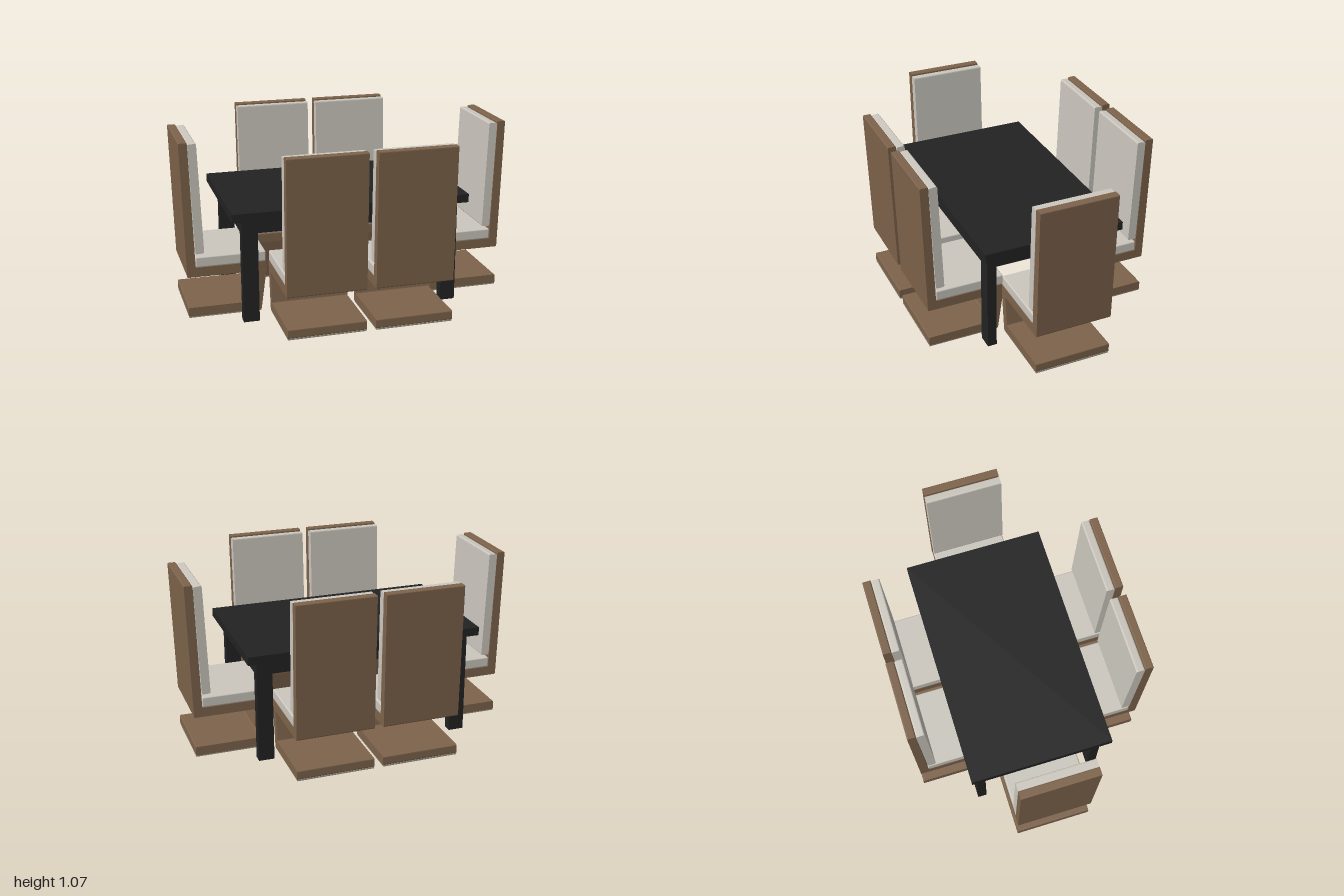
import * as THREE from 'three';
import { RoundedBoxGeometry } from 'three/addons/geometries/RoundedBoxGeometry.js';

const mat = (name, color) => Object.assign(new THREE.MeshStandardMaterial({ color }), { name });

const W = 0.47; // chair width

// Extrude a side profile [u, y] across the chair width, softening each corner by r
function profile(points, r) {
  const pts = points.map(p => new THREE.Vector2(...p));
  const n = pts.length;
  const shape = new THREE.Shape();
  pts.forEach((p, i) => {
    const a = pts[(i + n - 1) % n].clone().sub(p).setLength(r).add(p);
    const b = pts[(i + 1) % n].clone().sub(p).setLength(r).add(p);
    if (i === 0) shape.moveTo(a.x, a.y); else shape.lineTo(a.x, a.y);
    shape.quadraticCurveTo(p.x, p.y, b.x, b.y);
  });
  shape.closePath();
  return new THREE.ExtrudeGeometry(shape, { depth: W, bevelEnabled: false, curveSegments: 3 }).translate(0, 0, -W / 2);
}

export function createModel() {
  const brown = mat('brown leather', 0x7d634b);
  const cream = mat('cream fabric', 0xcbc7be);
  const grey = mat('grey felt', 0x9a9788);
  const black = mat('black wood', 0x222222);

  const model = new THREE.Group();
  model.name = 'diningSet';

  const add = (parent, name, geometry, material, x = 0, y = 0, z = 0) => {
    const mesh = new THREE.Mesh(geometry, material);
    mesh.name = name;
    mesh.position.set(x, y, z);
    parent.add(mesh);
    return mesh;
  };
  const box = (parent, name, x0, x1, y0, y1, z0, z1, material) =>
    add(parent, name, new THREE.BoxGeometry(x1 - x0, y1 - y0, z1 - z0), material,
      (x0 + x1) / 2, (y0 + y1) / 2, (z0 + z1) / 2);

  // Table: top, four legs and an apron frame
  const table = new THREE.Group();
  table.name = 'table';
  model.add(table);
  box(table, 'tableTop', -0.74, 0.70, 0.632, 0.683, -0.437, 0.43, black);
  for (const [x0, x1] of [[-0.68, -0.585], [0.548, 0.642]]) {
    for (const [z0, z1] of [[-0.398, -0.342], [0.338, 0.394]]) {
      box(table, 'tableLeg', x0, x1, 0, 0.632, z0, z1, black);
    }
  }
  for (const z of [-0.398, 0.338]) box(table, 'longApron', -0.585, 0.548, 0.548, 0.632, z, z + 0.056, black);
  for (const x of [-0.68, 0.548]) box(table, 'shortApron', x, x + 0.094, 0.548, 0.632, -0.342, 0.338, black);

  // Cantilever chair: u runs from the seat front (0) outward to the back
  const frameGeo = profile([
    [0.034, 0.008], [0.473, 0.008], [0.473, 0.064], [0.075, 0.064], [0.05, 0.256],
    [0.473, 0.256], [0.492, 1.07], [0.442, 1.07], [0.422, 0.314], [0, 0.314], [0, 0.256],
  ], 0.007);
  const backCushionGeo = profile([[0.368, 0.4], [0.419, 0.398], [0.441, 1.06], [0.39, 1.064]], 0.01);
  const seatCushionGeo = new RoundedBoxGeometry(0.42, 0.064, W, 2, 0.008);
  const padGeo = new THREE.BoxGeometry(0.436, 0.008, W - 0.004);

  function chair(name, x, z, angle) {
    const g = new THREE.Group();
    g.name = name;
    add(g, 'chairFrame', frameGeo, brown);
    add(g, 'backCushion', backCushionGeo, cream);
    add(g, 'seatCushion', seatCushionGeo, cream, 0.211, 0.346);
    add(g, 'floorPad', padGeo, grey, 0.254, 0.004);
    g.position.set(x, 0, z);
    g.rotation.y = angle;
    model.add(g);
  }

  // One chair at each end, two along each long side
  chair('leftEndChair', 0.508, 0.01, 0);
  chair('rightEndChair', -0.508, 0.01, Math.PI);
  for (const x of [-0.256, 0.269]) {
    chair('frontChair', x, 0.235, -Math.PI / 2);
    chair('backChair', x, -0.235, Math.PI / 2);
  }
  return model;
}
